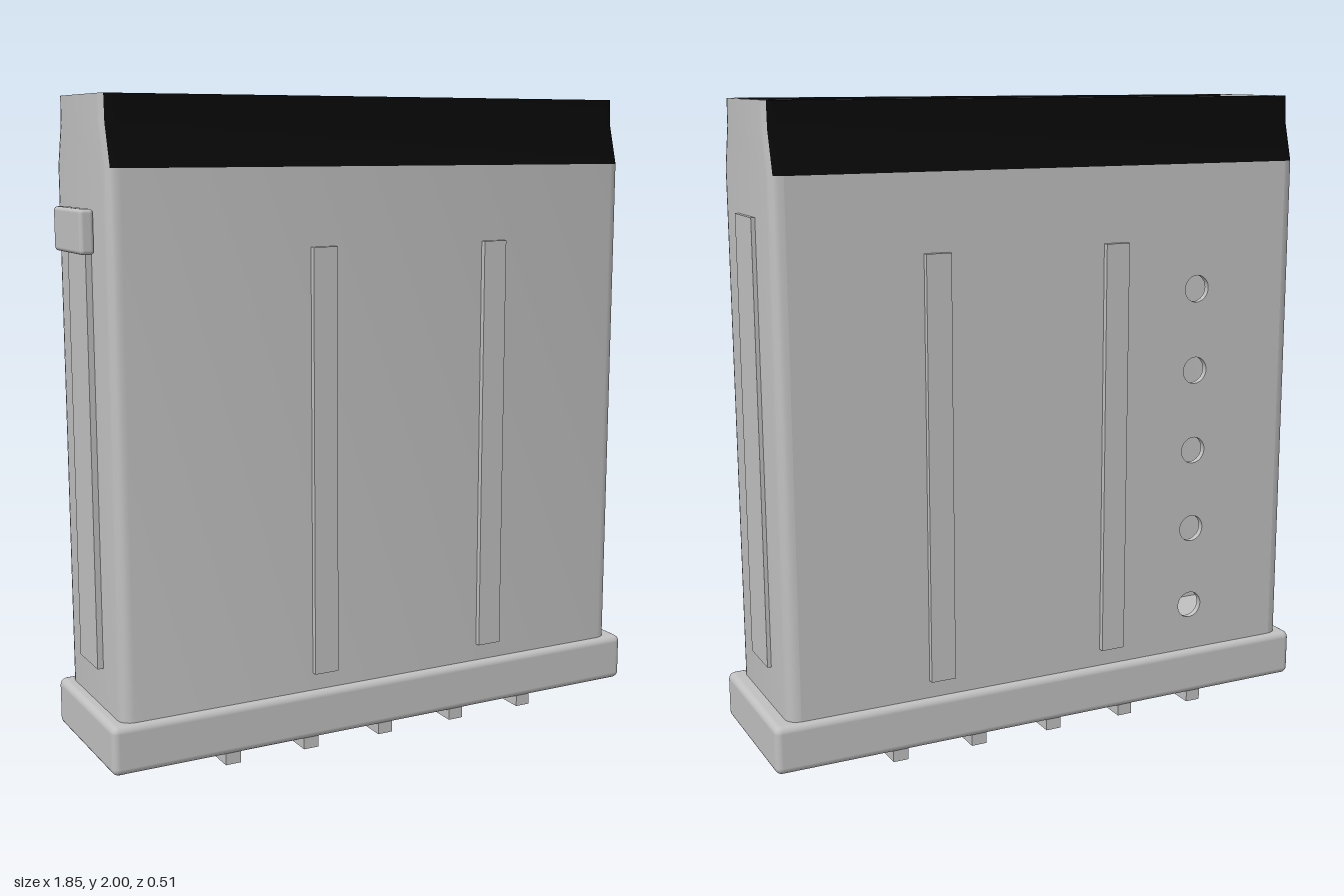
import * as THREE from 'three';
import { toCreasedNormals } from 'three/addons/utils/BufferGeometryUtils.js';
import { RoundedBoxGeometry } from 'three/addons/geometries/RoundedBoxGeometry.js';

const grey = new THREE.MeshStandardMaterial({ color: 0xc0c0c0 });
grey.name = 'light grey';
const black = new THREE.MeshStandardMaterial({ color: 0x080808 });
black.name = 'black';

const CX = -0.005; // body centre in x
const STEPS = 4; // segments per rounded corner

// Rounded rectangle loop at height y, half sizes w and d
function ring({ y, w, d, r }) {
  const points = [];
  const signs = [[1, 1], [-1, 1], [-1, -1], [1, -1]];
  signs.forEach(([sx, sz], k) => {
    for (let i = 0; i <= STEPS; i++) {
      const a = (k + i / STEPS) * Math.PI / 2;
      points.push([sx * (w - r) + r * Math.cos(a), y, sz * (d - r) + r * Math.sin(a)]);
    }
  });
  return points;
}

// Surface between successive loops, keeping the quads accepted by pick(level, segment)
function loft(levels, pick) {
  const rings = levels.map(ring);
  const positions = [];
  for (let l = 0; l < rings.length - 1; l++) {
    const n = rings[l].length;
    for (let s = 0; s < n; s++) {
      if (!pick(l, s)) continue;
      const t = (s + 1) % n;
      const a = rings[l][s], b = rings[l][t], c = rings[l + 1][t], d = rings[l + 1][s];
      positions.push(...a, ...d, ...c, ...a, ...c, ...b);
    }
  }
  const g = new THREE.BufferGeometry();
  g.setAttribute('position', new THREE.Float32BufferAttribute(positions, 3));
  g.computeVertexNormals();
  return toCreasedNormals(g, 0.5);
}

export function createModel() {
  const model = new THREE.Group();
  model.name = 'container';

  function add(name, geometry, x = 0, y = 0, z = 0, material = grey) {
    const mesh = new THREE.Mesh(geometry, material);
    mesh.name = name;
    mesh.position.set(x, y, z);
    model.add(mesh);
    return mesh;
  }
  // Box given by its limits
  function box(name, x0, x1, y0, y1, z0, z1, radius = 0) {
    const size = [x1 - x0, y1 - y0, z1 - z0];
    const g = radius ? new RoundedBoxGeometry(...size, 3, radius) : new THREE.BoxGeometry(...size);
    return add(name, g, (x0 + x1) / 2, (y0 + y1) / 2, (z0 + z1) / 2);
  }

  // Hollow shell: up the outside, over the rim, down the inside
  const outer = { w: 0.88, r: 0.04 }, inner = { w: 0.86, r: 0.02 };
  const levels = [
    { y: 0.17, d: 0.235, ...outer }, { y: 1.795, d: 0.235, ...outer },
    { y: 1.92, d: 0.2, ...outer }, { y: 2, d: 0.197, ...outer },
    { y: 2, d: 0.177, ...inner }, { y: 1.92, d: 0.18, ...inner },
    { y: 1.795, d: 0.215, ...inner }, { y: 0.17, d: 0.215, ...inner },
  ];
  const isBand = (l, s) => [1, 2, 4, 5].includes(l) && s % 10 >= 2 && s % 10 <= 6;
  const isBackPanel = (l, s) => (l === 0 || l === 6) && s === 14;
  add('shell', loft(levels, (l, s) => !isBand(l, s) && !isBackPanel(l, s)), CX);
  add('neckBand', loft(levels, isBand), CX, 0, 0, black);

  // Back wall with a column of round holes
  const wall = new THREE.Shape();
  wall.moveTo(-0.84, 0.17).lineTo(0.84, 0.17).lineTo(0.84, 1.795).lineTo(-0.84, 1.795).closePath();
  for (let i = 0; i < 5; i++) {
    const hole = new THREE.Path();
    hole.absarc(-0.515, 0.34 + i * 0.265, 0.043, 0, Math.PI * 2, true);
    wall.holes.push(hole);
  }
  add('backWall', new THREE.ExtrudeGeometry(wall, { depth: 0.02, bevelEnabled: false, curveSegments: 20 }), CX, 0, -0.235);

  // Raised strips on the front, back and ends
  for (const x of [-0.22, 0.38]) {
    box('frontRib', x - 0.04, x + 0.04, 0.24, 1.56, 0.225, 0.253);
    box('backRib', x - 0.04, x + 0.04, 0.24, 1.56, -0.253, -0.225);
  }
  box('leftEndRib', 0.865, 0.887, 0.31, 1.67, -0.08, 0.08);
  box('rightEndRib', -0.903, -0.875, 0.31, 1.67, -0.08, 0.08);
  box('catch', -0.93, -0.887, 1.55, 1.68, -0.125, 0.118, 0.012);

  // Inner platform with bevelled ends and a raised block
  const platform = new THREE.Shape();
  platform.moveTo(-0.85, 1.77).lineTo(0.84, 1.77).lineTo(0.84, 1.82).lineTo(0.82, 1.84)
    .lineTo(-0.83, 1.84).lineTo(-0.85, 1.82).closePath();
  add('platform', new THREE.ExtrudeGeometry(platform, { depth: 0.35, bevelEnabled: false }), 0, 0, -0.177);
  box('platformBlock', -0.76, 0.605, 1.8, 1.89, -0.09, 0.15, 0.012);

  // Base plate and the bars under it
  box('basePlate', -0.922, 0.922, 0.033, 0.185, -0.255, 0.255, 0.022);
  for (let i = -2; i <= 2; i++) {
    const x = -0.007 + i * 0.265;
    box('baseBar', x - 0.025, x + 0.025, 0, 0.05, -0.245, 0.245);
  }
  return model;
}
